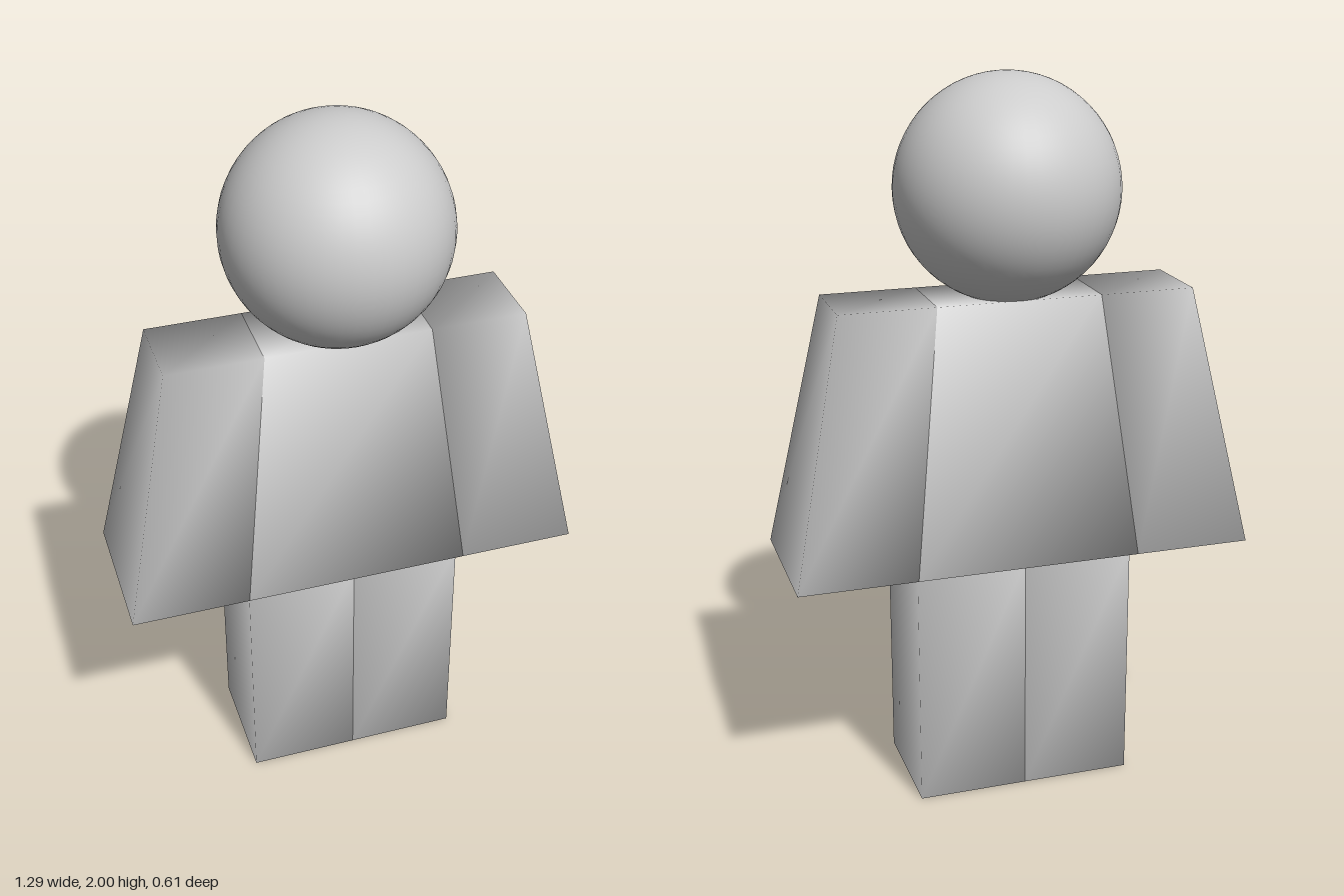
import * as THREE from 'three';
import { mergeVertices } from 'three/addons/utils/BufferGeometryUtils.js';

// Tapered block with soft shading; bottom and top are [xMin, xMax, zMin, zMax]
function taperedBlock(yBottom, yTop, bottom, top, withSides = true) {
  let geo = new THREE.BoxGeometry(1, 1, 1);
  if (!withSides) geo.setIndex(Array.from(geo.index.array).slice(12));
  const p = geo.attributes.position;
  for (let i = 0; i < p.count; i++) {
    const r = p.getY(i) > 0 ? top : bottom;
    p.setXYZ(i,
      p.getX(i) > 0 ? r[1] : r[0],
      p.getY(i) > 0 ? yTop : yBottom,
      p.getZ(i) > 0 ? r[3] : r[2]);
  }
  // share the corners so the normals blend over the edges
  geo.deleteAttribute('normal');
  geo.deleteAttribute('uv');
  geo.clearGroups();
  geo = mergeVertices(geo);
  geo.computeVertexNormals();
  return geo;
}

// Swap an x range to the other side of the body
const onSide = (s, [x0, x1, z0, z1]) => (s > 0 ? [x0, x1, z0, z1] : [-x1, -x0, z0, z1]);

export function createModel() {
  const model = new THREE.Group();
  model.name = 'figure';
  const grey = new THREE.MeshStandardMaterial({ color: 0xcccccc });
  grey.name = 'light grey';

  const add = (name, geo) => {
    const mesh = new THREE.Mesh(geo, grey);
    mesh.name = name;
    model.add(mesh);
    return mesh;
  };

  // Head
  add('head', new THREE.SphereGeometry(0.305, 48, 32)).position.y = 1.695;

  // Torso, its sides closed by the arms
  add('torso', taperedBlock(0.69, 1.415,
    [-0.315, 0.315, -0.215, 0.2], [-0.228, 0.228, -0.12, 0.11], false));

  // Arms and legs
  for (const [side, s] of [['left', 1], ['right', -1]]) {
    add(side + 'Arm', taperedBlock(0.69, 1.415,
      onSide(s, [0.315, 0.643, -0.215, 0.2]), onSide(s, [0.228, 0.493, -0.12, 0.11])));
    const leg = onSide(s, [0, 0.307, -0.17, 0.163]);
    add(side + 'Leg', taperedBlock(0, 0.69, leg, leg));
  }
  return model;
}
